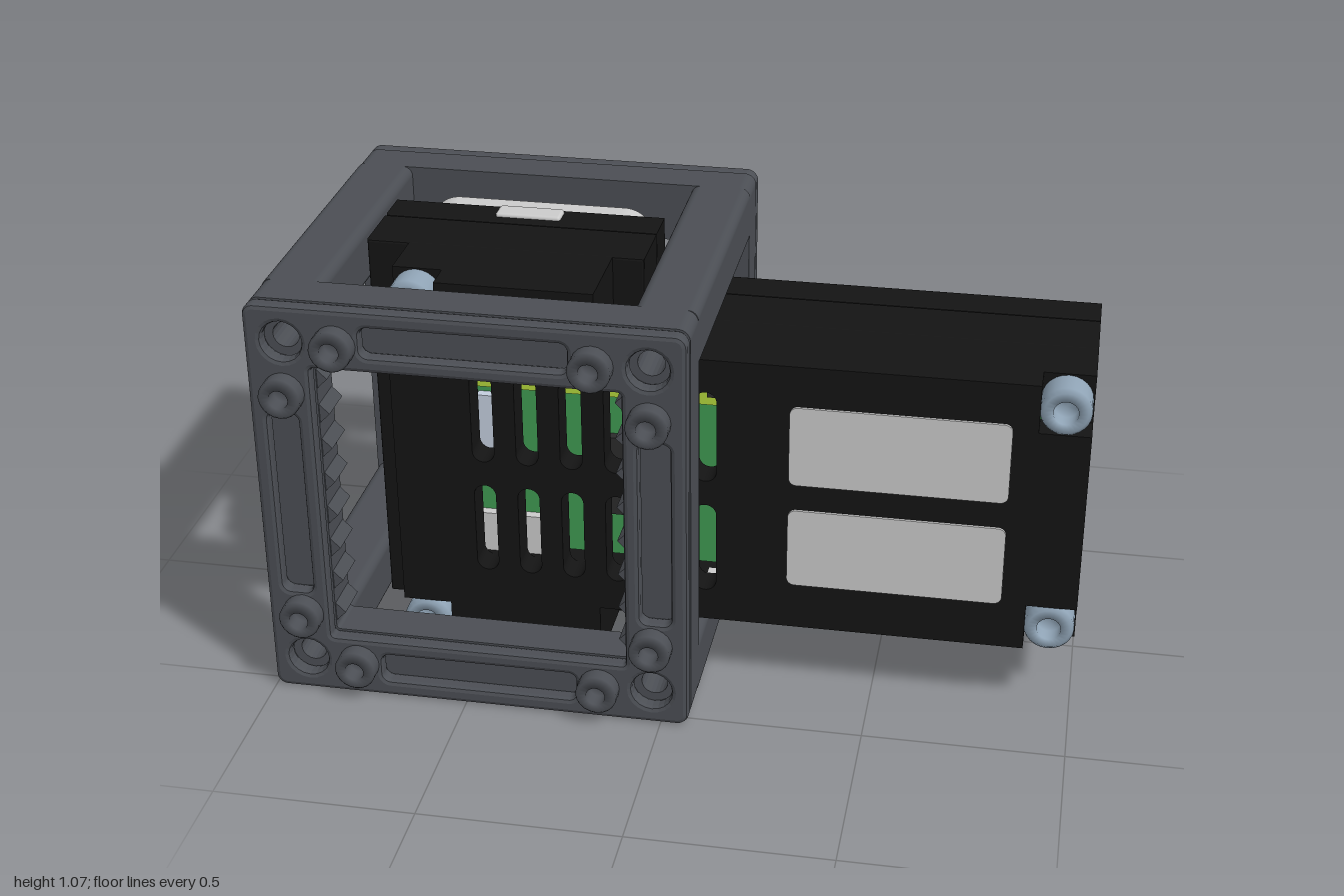
import * as THREE from 'three';
import { RoundedBoxGeometry } from 'three/addons/geometries/RoundedBoxGeometry.js';

const CX = -0.465, CY = 0.535; // centre of the cage
const mat = (color) => new THREE.MeshStandardMaterial({ color });
const M = {
  frame: mat(0x4b4e54), black: mat(0x141414), grey: mat(0xcccccc), steel: mat(0x8fa3b5),
  green: mat(0x3f9a52), lime: mat(0xb4d63c), pale: mat(0xc4cede), dark: mat(0x2c2c2c),
};

function add(parent, name, geo, material, x = 0, y = 0, z = 0) {
  const mesh = new THREE.Mesh(geo, material);
  mesh.name = name;
  mesh.position.set(x, y, z);
  parent.add(mesh);
  return mesh;
}

// Rounded rectangle centred on (x, y); works for shapes and holes
function roundRect(Type, x, y, w, h, r) {
  const p = new Type(), a = w / 2 - r, b = h / 2 - r;
  p.absarc(x + a, y + b, r, 0, Math.PI / 2);
  p.absarc(x - a, y + b, r, Math.PI / 2, Math.PI);
  p.absarc(x - a, y - b, r, Math.PI, Math.PI * 1.5);
  p.absarc(x + a, y - b, r, Math.PI * 1.5, Math.PI * 2);
  p.closePath();
  return p;
}
const circle = (x, y, r) => new THREE.Path().absarc(x, y, r, 0, Math.PI * 2);
const corners = [[1, 1], [-1, 1], [-1, -1], [1, -1]];

// Extrude between two z values, bevel kept inside the depth and the outline
function slab(shape, z0, z1, bevel = 0) {
  const geo = new THREE.ExtrudeGeometry(shape, {
    depth: z1 - z0 - 2 * bevel, bevelEnabled: bevel > 0, bevelThickness: bevel,
    bevelSize: bevel, bevelOffset: -bevel, bevelSegments: 2, curveSegments: 10,
  });
  return geo.translate(0, 0, z0 + bevel);
}

// One square end of the cage, built facing +z about its own centre
function cageEnd() {
  const g = new THREE.Group();
  const ring = (holeR) => {
    const s = roundRect(THREE.Shape, 0, 0, 1.07, 1.07, 0.03);
    s.holes.push(roundRect(THREE.Path, 0, 0, 0.755, 0.755, 0.01));
    corners.forEach(([a, b]) => s.holes.push(circle(a * 0.443, b * 0.443, holeR)));
    return s;
  };
  add(g, 'endRing', slab(ring(0.033), 0.38, 0.49), M.frame);
  // outer skin with recessed slots and wider corner holes
  const skin = ring(0.05);
  for (const s of [-1, 1]) {
    skin.holes.push(roundRect(THREE.Path, 0, s * 0.455, 0.5, 0.076, 0.02));
    skin.holes.push(roundRect(THREE.Path, s * 0.455, 0, 0.076, 0.5, 0.02));
  }
  add(g, 'endSkin', slab(skin, 0.49, 0.535, 0.012), M.frame);
  // hollow locating studs beside each corner
  const stud = new THREE.LatheGeometry([[0, 0.02], [0.024, 0.02], [0.024, 0.06], [0.046, 0.06],
    [0.052, 0.054], [0.052, 0]].reverse().map(([x, y]) => new THREE.Vector2(x, y)), 20)
    .rotateX(Math.PI / 2);
  for (const [a, b] of corners) {
    add(g, 'stud', stud, M.frame, a * 0.31, b * 0.445, 0.518);
    add(g, 'stud', stud, M.frame, a * 0.445, b * 0.31, 0.518);
  }
  // teeth along the inner sides of the uprights
  const tooth = new THREE.BoxGeometry(0.036, 0.036, 0.1).rotateZ(Math.PI / 4);
  for (const s of [-1, 1])
    for (let i = 0; i < 8; i++) add(g, 'tooth', tooth, M.frame, s * 0.378, -0.33 + i * 0.094, 0.435);
  return g;
}

function cage() {
  const g = new THREE.Group();
  g.name = 'cage';
  g.position.set(CX, CY, 0);
  const front = cageEnd(), back = cageEnd();
  front.name = 'cageFront';
  back.name = 'cageBack';
  back.rotation.y = Math.PI;
  g.add(front, back);
  // four long bars with through holes
  for (const [a, b] of corners) {
    const s = roundRect(THREE.Shape, a * 0.4575, b * 0.4575, 0.155, 0.155, 0.025);
    s.holes.push(circle(a * 0.443, b * 0.443, 0.033));
    add(g, 'cageBar', slab(s, -0.385, 0.385), M.frame);
  }
  return g;
}

// Body outline: tall head from xl to xr, then the long arm out to x = 1
function outline(xl, xr, cut = 0, notch = false) {
  const top = [[1, 0]];
  if (cut) top.splice(0, 1, [1, 0.365 - cut], [1 - cut, 0.365 - cut], [1 - cut, 0.365]);
  else top.splice(0, 1, [1, 0.365]);
  top.push([xr, 0.365], [xr, 0.515]);
  if (cut) top.push([xl + cut, 0.515], [xl + cut, 0.515 - cut], [xl, 0.515 - cut]);
  else top.push([xl, 0.515]);
  const low = top.map(([x, y]) => [x, -y]).reverse();
  if (notch) low.splice(low.length - 1, 0, [0.03, -0.365], [0.03, -0.29], [0.57, -0.29], [0.57, -0.365]);
  return new THREE.Shape([...top, ...low].map(([x, y]) => new THREE.Vector2(x, y + CY + 0.005)));
}

function body() {
  const g = new THREE.Group();
  g.name = 'body';
  add(g, 'backShell', slab(outline(-0.83, -0.12), -0.195, -0.085, 0.008), M.black);
  add(g, 'middleShell', slab(outline(-0.83, -0.12), -0.085, 0.08, 0.006), M.black);
  add(g, 'frontShell', slab(outline(-0.72, -0.2), 0.08, 0.165), M.black);
  // hollow wall with a port opening underneath
  const wall = outline(-0.72, -0.2, 0, true);
  wall.holes.push(roundRect(THREE.Path, 0.15, 0.555, 1.5, 0.59, 0.02));
  add(g, 'portWall', slab(wall, 0.165, 0.228), M.black);
  // cover with vent slots and corner cut-outs
  const cover = outline(-0.72, -0.2, 0.125);
  for (let i = 0; i < 6; i++)
    for (const y of [0.383, 0.695])
      cover.holes.push(roundRect(THREE.Path, -0.49 + i * 0.1125, y, 0.056, 0.245, 0.0279));
  add(g, 'ventCover', slab(cover, 0.228, 0.305), M.black);
  for (const y of [0.408, 0.692])
    add(g, 'label', slab(roundRect(THREE.Shape, 0.547, y, 0.535, 0.213, 0.02), 0.3, 0.312), M.grey);
  // circuit board and its parts
  const box = (name, m, x, y, z, w, h, d) => add(g, name, new THREE.BoxGeometry(w, h, d), m, x, y, z);
  box('circuitBoard', M.green, 0.15, 0.555, 0.175, 1.48, 0.57, 0.02);
  box('boardEdge', M.green, 0.3, 0.22, 0.175, 0.53, 0.06, 0.018);
  box('pinHeader', M.lime, -0.2, 0.78, 0.195, 0.66, 0.09, 0.03);
  for (let i = 0; i < 6; i++) box('pin', M.dark, -0.49 + i * 0.1125, 0.77, 0.21, 0.024, 0.024, 0.01);
  box('boardChip', M.pale, -0.49, 0.59, 0.195, 0.075, 0.24, 0.03);
  box('boardChip', M.dark, -0.155, 0.51, 0.195, 0.07, 0.22, 0.03);
  box('boardSocket', M.grey, -0.44, 0.31, 0.195, 0.2, 0.12, 0.03);
  for (const x of [0.15, 0.45]) {
    box('port', M.grey, x, 0.215, 0.205, 0.17, 0.09, 0.036);
    box('portMouth', M.dark, x, 0.171, 0.205, 0.13, 0.006, 0.018);
  }
  // socket screws in the cut corners
  const screw = new THREE.LatheGeometry([[0.062, 0], [0.062, 0.07], [0.052, 0.08], [0.03, 0.08],
    [0.03, 0.04], [0, 0.04]].map(([x, y]) => new THREE.Vector2(x, y)), 24).rotateX(Math.PI / 2);
  const tip = new THREE.CylinderGeometry(0.026, 0.026, 0.02, 16).rotateX(Math.PI / 2);
  for (const [x, dy] of [[0.935, 0.3], [-0.66, 0.45]])
    for (const s of [-1, 1]) {
      add(g, 'screw', screw, M.steel, x, CY + 0.005 + s * dy, 0.228);
      if (x > 0) add(g, 'screwTip', tip, M.steel, x + 0.015, CY + 0.005 + s * dy, -0.19);
    }
  return g;
}

function mount() {
  const g = new THREE.Group();
  g.name = 'mountPlate';
  const s = roundRect(THREE.Shape, CX, CY, 0.6, 1.0, 0.08);
  s.holes.push(circle(CX, CY, 0.12));
  for (const k of [-1, 1]) {
    s.holes.push(circle(CX + k * 0.185, CY, 0.024));
    s.holes.push(roundRect(THREE.Path, CX, CY + k * 0.27, 0.066, 0.11, 0.0329));
    // small tab at the top and bottom of the head
    add(g, 'mountTab', new RoundedBoxGeometry(0.17, 0.03, 0.06, 2, 0.008), M.grey, CX, CY + k * 0.515, -0.15);
  }
  add(g, 'plate', slab(s, -0.295, -0.195, 0.012), M.grey);
  add(g, 'plateFloor', new THREE.CylinderGeometry(0.118, 0.118, 0.02, 32).rotateX(Math.PI / 2),
    M.grey, CX, CY, -0.205);
  return g;
}

export function createModel() {
  const model = new THREE.Group();
  model.name = 'cagedDevice';
  model.add(cage(), body(), mount());
  return model;
}
